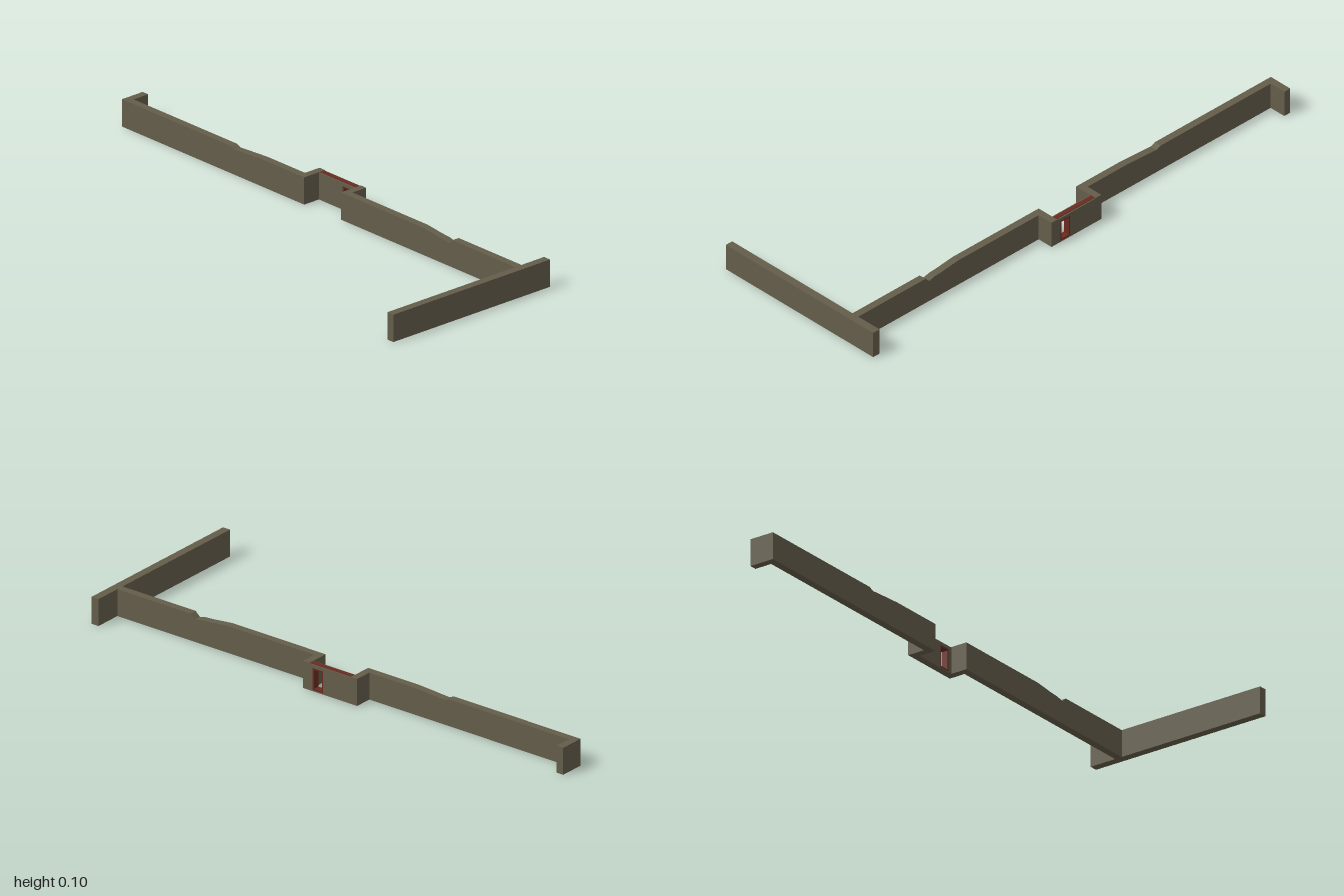
import * as THREE from 'three';

const H = 0.1; // wall height

export function createModel() {
  const group = new THREE.Group();
  group.name = 'ruinedWall';
  const stone = new THREE.MeshStandardMaterial({ color: 0x645d4a });
  stone.name = 'weathered stone';
  const red = new THREE.MeshStandardMaterial({ color: 0x6a2a20 });
  red.name = 'dark red trim';

  const add = (name, geometry, material) => {
    const mesh = new THREE.Mesh(geometry, material);
    mesh.name = name;
    group.add(mesh);
  };

  // Box given by its limits on each axis
  const block = (name, x0, x1, y0, y1, z0, z1, material = stone) => {
    const g = new THREE.BoxGeometry(x1 - x0, y1 - y0, z1 - z0);
    g.translate((x0 + x1) / 2, (y0 + y1) / 2, (z0 + z1) / 2);
    add(name, g, material);
  };

  // Wall running along z: outline in (z, y), thickness from x0 to x1
  const wall = (name, x0, x1, outline, holes = []) => {
    const shape = new THREE.Shape(outline.map(([z, y]) => new THREE.Vector2(z, y)));
    for (const hole of holes) {
      shape.holes.push(new THREE.Path(hole.map(([z, y]) => new THREE.Vector2(z, y))));
    }
    const g = new THREE.ExtrudeGeometry(shape, { depth: x1 - x0, bevelEnabled: false });
    g.rotateY(-Math.PI / 2);
    g.translate(x1, 0, 0);
    add(name, g, stone);
  };

  // Cross walls at both ends
  block('frontCrossWall', -0.357, 0.357, 0, H, 0.97, 1);
  block('backReturn', 0.25, 0.316, 0, H, -1, -0.972);

  // Long walls with broken top edges
  wall('frontLongWall', 0.226, 0.254, [
    [0.095, 0], [0.97, 0], [0.97, H], [0.655, H], [0.637, 0.083],
    [0.61, 0.089], [0.57, 0.092], [0.5, H], [0.095, H],
  ]);
  wall('backLongWall', 0.222, 0.25, [
    [-1, 0], [-0.085, 0], [-0.085, H], [-0.3, H], [-0.37, 0.096],
    [-0.435, 0.092], [-0.455, H], [-1, H],
  ]);

  // Projecting bay
  block('bayFrontReturn', 0.254, 0.316, 0, H, 0.095, 0.122);
  block('bayBackReturn', 0.25, 0.316, 0, H, -0.112, -0.085);
  wall('bayWall', 0.289, 0.316,
    [[-0.085, 0], [0.095, 0], [0.095, 0.098], [-0.085, 0.098]],
    [[[0.034, 0.003], [0.034, 0.086], [0.08, 0.086], [0.08, 0.003]]]);

  // Red lining of the opening and strip along the bay top
  block('openingSill', 0.29, 0.315, 0.003, 0.009, 0.034, 0.08, red);
  block('openingLintel', 0.29, 0.315, 0.08, 0.086, 0.034, 0.08, red);
  for (const z of [0.034, 0.075]) {
    block('openingJamb', 0.29, 0.315, 0.009, 0.08, z, z + 0.005, red);
  }
  block('bayTopStrip', 0.294, 0.311, 0.098, H, -0.085, 0.095, red);

  return group;
}
